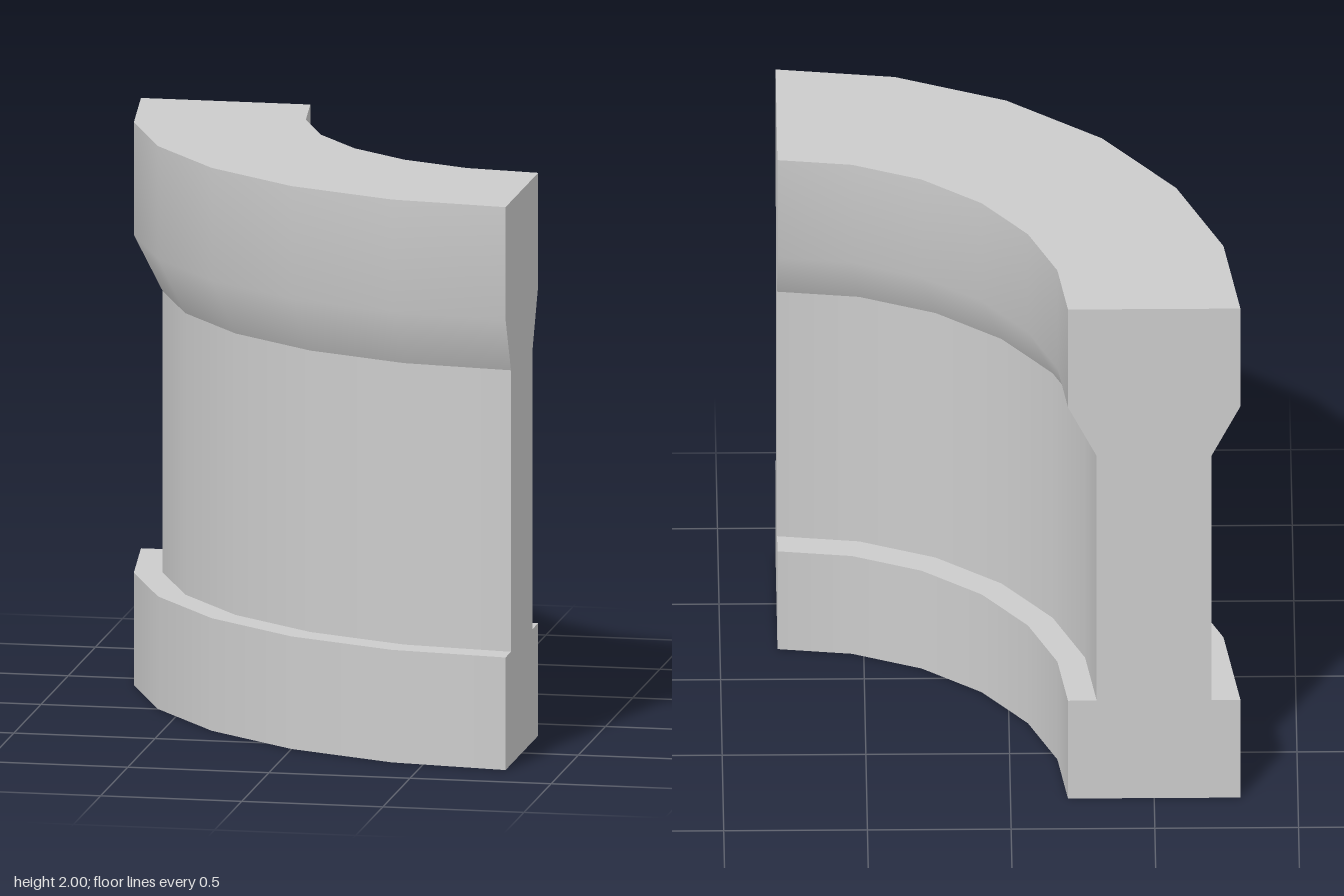
import * as THREE from 'three';
import { mergeGeometries } from 'three/addons/utils/BufferGeometryUtils.js';

const SEGMENTS = 6; // facets in the quarter turn

// Quarter-turn band from a [radius, height] profile, smooth within the band
const band = (points) => new THREE.LatheGeometry(
  points.map(([r, y]) => new THREE.Vector2(r, y)), SEGMENTS, Math.PI * 1.5, Math.PI / 2);

export function createModel() {
  const group = new THREE.Group();
  group.name = 'quarterRingSegment';
  const material = new THREE.MeshStandardMaterial({ color: 0xcccccc });
  const add = (name, geometry) => {
    const mesh = new THREE.Mesh(geometry, material);
    mesh.name = name;
    group.add(mesh);
  };

  // Bands run counter-clockwise around each section; separate bands keep edges sharp
  const parts = {
    base: [
      [[1, 0], [1.6, 0]],
      [[1.6, 0], [1.6, 0.4]],
      [[1.6, 0.4], [1.5, 0.4]],
      [[1.1, 0.4], [1, 0.4]],
      [[1, 0.4], [1, 0]],
    ],
    wall: [
      [[1.5, 0.4], [1.5, 1.4]],
      [[1.1, 1.4], [1.1, 0.4]],
    ],
    flaredCollar: [
      [[1.5, 1.4], [1.6, 1.6], [1.6, 2]],
      [[1.6, 2], [1, 2]],
      [[1, 2], [1, 1.6], [1.1, 1.4]],
    ],
  };
  for (const [name, bands] of Object.entries(parts)) add(name, mergeGeometries(bands.map(band)));

  // Flat end faces closing the section on both cut planes
  const section = [
    [1, 0], [1.6, 0], [1.6, 0.4], [1.5, 0.4], [1.5, 1.4], [1.6, 1.6],
    [1.6, 2], [1, 2], [1, 1.6], [1.1, 1.4], [1.1, 0.4], [1, 0.4],
  ];
  const endFace = (side) => new THREE.ShapeGeometry(
    new THREE.Shape(section.map(([r, y]) => new THREE.Vector2(side * r, y))));
  add('leftEndFace', endFace(-1).rotateY(Math.PI / 2));
  add('backEndFace', endFace(1).rotateY(Math.PI));

  // Centre the quarter ring's bounding square on the origin
  group.position.set(0.8, 0, -0.8);
  const root = new THREE.Group();
  root.name = 'pipeCollarQuarter';
  root.add(group);
  return root;
}
